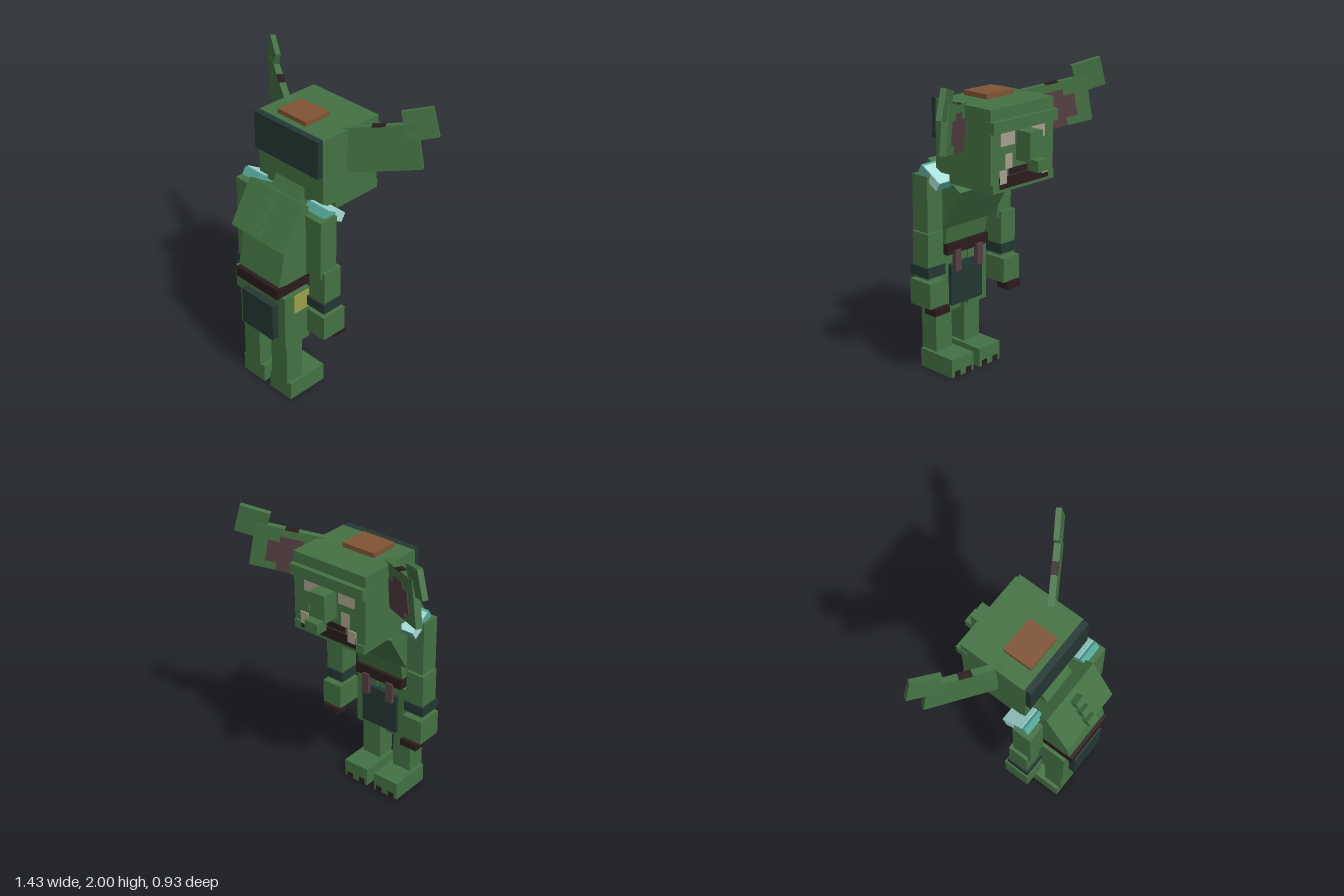
import * as THREE from 'three';

const mat = (name, color) => {
  const m = new THREE.MeshStandardMaterial({ color });
  m.name = name;
  return m;
};

export function createModel() {
  const green = mat('skin green', 0x447244);
  const teal = mat('dark teal cloth', 0x233833);
  const maroon = mat('dark maroon', 0x2c1c1c);
  const brown = mat('brown leather', 0x805434);
  const ice = mat('pale aqua', 0xa8e0da);
  const aqua = mat('aqua', 0x55aa9c);
  const olive = mat('olive pouch', 0x9ca24a);
  const bone = mat('bone', 0xa8a08c);
  const mauve = mat('ear mauve', 0x553f42);

  const model = new THREE.Group();
  model.name = 'goblin';

  const group = (name, x, y, z, tilt = 0) => {
    const g = new THREE.Group();
    g.name = name;
    g.position.set(x, y, z);
    g.rotation.x = tilt;
    model.add(g);
    return g;
  };
  // box from its limits on each axis
  const box = (parent, name, m, x0, x1, y0, y1, z0, z1) => {
    const mesh = new THREE.Mesh(new THREE.BoxGeometry(x1 - x0, y1 - y0, z1 - z0), m);
    mesh.position.set((x0 + x1) / 2, (y0 + y1) / 2, (z0 + z1) / 2);
    mesh.name = name;
    parent.add(mesh);
    return mesh;
  };
  // the same box on both sides
  const pair = (parent, name, m, x0, x1, ...yz) => {
    box(parent, name + 'Left', m, x0, x1, ...yz);
    box(parent, name + 'Right', m, -x1, -x0, ...yz);
  };

  // head, looking towards -z
  const head = group('head', 0, 0, 0);
  box(head, 'skull', green, -0.27, 0.27, 1.365, 1.81, -0.295, 0.16);
  box(head, 'jaw', green, -0.265, 0.265, 1.31, 1.366, -0.308, 0.05);
  box(head, 'brow', green, -0.275, 0.275, 1.67, 1.74, -0.328, -0.25);
  box(head, 'headBand', teal, -0.265, 0.265, 1.57, 1.812, 0.155, 0.197);
  box(head, 'cap', brown, -0.155, 0.08, 1.8, 1.84, -0.08, 0.113);
  box(head, 'nose', green, -0.055, 0.055, 1.48, 1.66, -0.403, -0.29);
  box(head, 'noseTip', green, -0.048, 0.048, 1.43, 1.5, -0.46, -0.38);
  box(head, 'mouth', maroon, -0.21, 0.21, 1.33, 1.4, -0.311, -0.303);
  box(head, 'upperMouth', maroon, -0.12, 0.12, 1.4, 1.44, -0.299, -0.291);
  pair(head, 'eye', bone, 0.07, 0.19, 1.58, 1.67, -0.299, -0.291);
  pair(head, 'tuskBase', bone, 0.15, 0.21, 1.36, 1.44, -0.313, -0.305);
  pair(head, 'tuskTip', bone, 0.09, 0.15, 1.44, 1.53, -0.299, -0.291);

  // ears: slanted plates with a smaller tip plate and a dark inner side
  const slanted = (name, side, c, u, v) => {
    const g = group(name, side * c[0], c[1], c[2]);
    const X = new THREE.Vector3(u[0], side * u[1], side * u[2]).normalize();
    const Y = new THREE.Vector3(side * v[0], v[1], v[2]);
    const Z = new THREE.Vector3().crossVectors(X, Y).normalize();
    Y.crossVectors(Z, X);
    g.quaternion.setFromRotationMatrix(new THREE.Matrix4().makeBasis(X, Y, Z));
    return g;
  };
  for (const side of [1, -1]) {
    const label = side > 0 ? 'Left' : 'Right';
    const ear = slanted('ear' + label, side, [0.43, 1.71, -0.16], [0.37, 0.08, -0.23], [-0.05, 0.28, 0.02]);
    box(ear, 'earPlate', green, -0.222, 0.222, -0.143, 0.143, -0.02, 0.02);
    const patch = (name, a, b, ...rest) =>
      box(ear, name, mauve, Math.min(side * a, side * b), Math.max(side * a, side * b), ...rest);
    patch('innerEar', -0.18, 0.13, -0.09, 0.05, -0.024, -0.018);
    patch('innerEarLow', -0.18, 0.06, -0.14, -0.09, -0.024, -0.018);
    patch('innerEarHigh', -0.08, 0.06, 0.05, 0.09, -0.024, -0.018);
    patch('earNotch', -0.04, 0.04, 0.138, 0.146, -0.021, 0.021).material = maroon;
    const tip = slanted('earTip' + label, side, [0.608, 1.89, -0.275], [0.155, 0.05, -0.1], [-0.05, 0.17, 0.01]);
    box(tip, 'earTipPlate', green, -0.093, 0.093, -0.09, 0.09, -0.017, 0.017);
  }

  // hunched torso with spine knobs
  const neck = group('neck', 0, 1.32, 0.12, -0.54);
  box(neck, 'neckBlock', green, -0.12, 0.12, -0.08, 0.08, -0.1, 0.1);
  const chest = group('chest', 0, 1.2, 0.22, -0.54);
  box(chest, 'chestBlock', green, -0.225, 0.225, -0.155, 0.155, -0.163, 0.163);
  for (const y of [0.075, -0.015, -0.105]) {
    box(chest, 'spineKnob', green, -0.034, 0.034, y - 0.026, y + 0.026, 0.15, 0.212);
  }
  const belly = group('belly', 0, 0.99, 0.285, -0.2);
  box(belly, 'bellyBlock', green, -0.178, 0.178, -0.135, 0.145, -0.12, 0.12);

  // belt, pelvis and loincloth
  const hips = group('hips', 0, 0, 0);
  box(hips, 'belt', maroon, -0.18, 0.18, 0.8, 0.87, 0.165, 0.45);
  box(hips, 'pelvis', green, -0.16, 0.16, 0.46, 0.81, 0.21, 0.4);
  box(hips, 'backCloth', teal, -0.137, 0.137, 0.47, 0.725, 0.4, 0.45);
  box(hips, 'frontCloth', teal, -0.137, 0.137, 0.45, 0.725, 0.175, 0.215);
  pair(hips, 'strap', mauve, 0.07, 0.12, 0.68, 0.82, 0.15, 0.18);
  box(hips, 'pouch', olive, 0.19, 0.206, 0.65, 0.78, 0.21, 0.33);

  // legs with clawed feet
  const legs = group('legs', 0, 0, 0);
  pair(legs, 'thigh', green, 0.035, 0.2, 0.41, 0.79, 0.2, 0.405);
  pair(legs, 'shin', green, 0.056, 0.195, 0.12, 0.42, 0.26, 0.39);
  pair(legs, 'foot', green, 0.028, 0.218, 0, 0.125, 0.092, 0.38);
  for (const x of [0.05, 0.15]) pair(legs, 'toeClaw', maroon, x, x + 0.045, 0.001, 0.04, 0.088, 0.096);

  // arms with wristbands and dark fingers
  const arms = group('arms', 0, 0, 0);
  pair(arms, 'upperArm', green, 0.242, 0.366, 0.95, 1.35, 0.14, 0.27);
  pair(arms, 'forearm', green, 0.257, 0.385, 0.7, 0.995, 0.12, 0.255);
  pair(arms, 'wristband', teal, 0.25, 0.395, 0.715, 0.78, 0.11, 0.268);
  pair(arms, 'hand', green, 0.253, 0.398, 0.52, 0.685, 0.092, 0.27);
  pair(arms, 'fingers', maroon, 0.26, 0.382, 0.476, 0.522, 0.065, 0.16);

  // shoulder pads
  const pads = group('shoulderPads', 0, 1.345, 0.145, -0.54);
  pair(pads, 'pad', aqua, 0.2, 0.345, -0.03, 0.024, -0.09, 0.09);
  pair(pads, 'padTop', ice, 0.2, 0.346, 0.022, 0.03, -0.091, 0.07);
  pair(pads, 'padSide', ice, 0.341, 0.348, -0.03, 0.03, -0.091, -0.01);

  return model;
}
